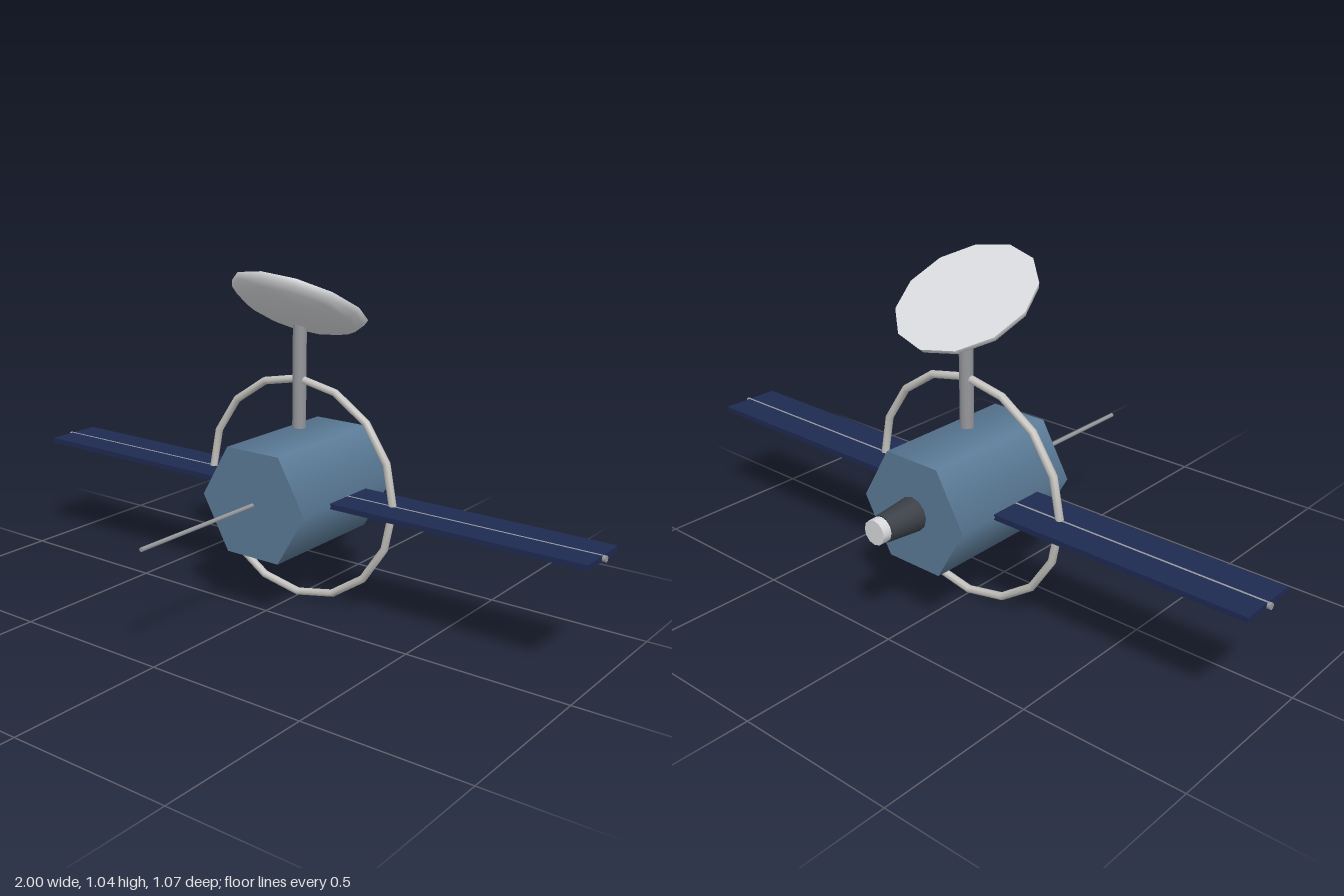
import * as THREE from 'three';

const AXIS_Y = 0.354; // height of the main axis
const MID_Z = -0.162; // plane of the ring, wings and mast

function material(name, color) {
  const m = new THREE.MeshStandardMaterial({ color });
  m.name = name;
  return m;
}

export function createModel() {
  const blue = material('hullBlue', 0x5b7b97);
  const navy = material('panelNavy', 0x1f2a52);
  const dark = material('darkGrey', 0x3a3f46);
  const grey = material('metalGrey', 0x95979b);
  const silver = material('ringSilver', 0xc6c5c1);
  const pale = material('paleGrey', 0xd9dadd);

  const group = new THREE.Group();
  group.name = 'satellite';

  function add(name, geometry, mat, x, y, z, parent = group) {
    const mesh = new THREE.Mesh(geometry, mat);
    mesh.name = name;
    mesh.position.set(x, y, z);
    parent.add(mesh);
    return mesh;
  }

  // Cylinder lying along z, from the back end to the front end
  function alongZ(name, mat, rFront, rBack, zFront, zBack, sides, turn = 0) {
    const g = new THREE.CylinderGeometry(rFront, rBack, zFront - zBack, sides);
    g.rotateY(turn).rotateX(Math.PI / 2);
    return add(name, g, mat, 0, AXIS_Y, (zFront + zBack) / 2);
  }

  // Hexagonal hull with corners to the sides
  alongZ('hull', blue, 0.188, 0.188, 0.065, -0.388, 6, Math.PI / 6);

  // Rear nozzle with pale tip, and front probe
  alongZ('nozzle', dark, 0.052, 0.04, -0.38, -0.506, 12);
  alongZ('nozzleTip', pale, 0.037, 0.037, -0.5, -0.535, 12);
  alongZ('frontProbe', grey, 0.0065, 0.0065, 0.537, 0.06, 8);

  // Sensor box under the hull
  add('sensorBox', new THREE.BoxGeometry(0.068, 0.04, 0.135), dark, 0, 0.186, -0.099);

  // Ring around the hull
  add('ring', new THREE.TorusGeometry(0.342, 0.012, 8, 16), silver, 0, AXIS_Y, MID_Z);

  // Solar wings with a spar running through each
  for (const side of [1, -1]) {
    const wing = new THREE.Group();
    wing.name = side > 0 ? 'leftWing' : 'rightWing';
    group.add(wing);
    add('solarPanel', new THREE.BoxGeometry(0.82, 0.016, 0.188), navy, side * 0.58, AXIS_Y, MID_Z, wing);
    const spar = new THREE.CylinderGeometry(0.0095, 0.0095, 0.83, 8).rotateZ(Math.PI / 2);
    add('spar', spar, grey, side * 0.585, AXIS_Y, MID_Z, wing);
  }

  // Mast carrying the dish
  add('mast', new THREE.CylinderGeometry(0.021, 0.021, 0.328, 12), grey, 0, 0.708, MID_Z);

  // Shallow dish tilted towards the back, closed by a flat face
  const dish = new THREE.Group();
  dish.name = 'dish';
  dish.position.set(0, 0.931, -0.16);
  dish.rotation.x = -Math.PI / 6;
  group.add(dish);
  const bowl = new THREE.SphereGeometry(0.211, 12, 6, 0, Math.PI * 2, Math.PI / 2, Math.PI / 2);
  add('dishBowl', bowl.scale(1, 0.335, 1), pale, 0, 0, 0, dish);
  add('dishFace', new THREE.CircleGeometry(0.211, 12).rotateX(-Math.PI / 2), pale, 0, 0, 0, dish);

  return group;
}
